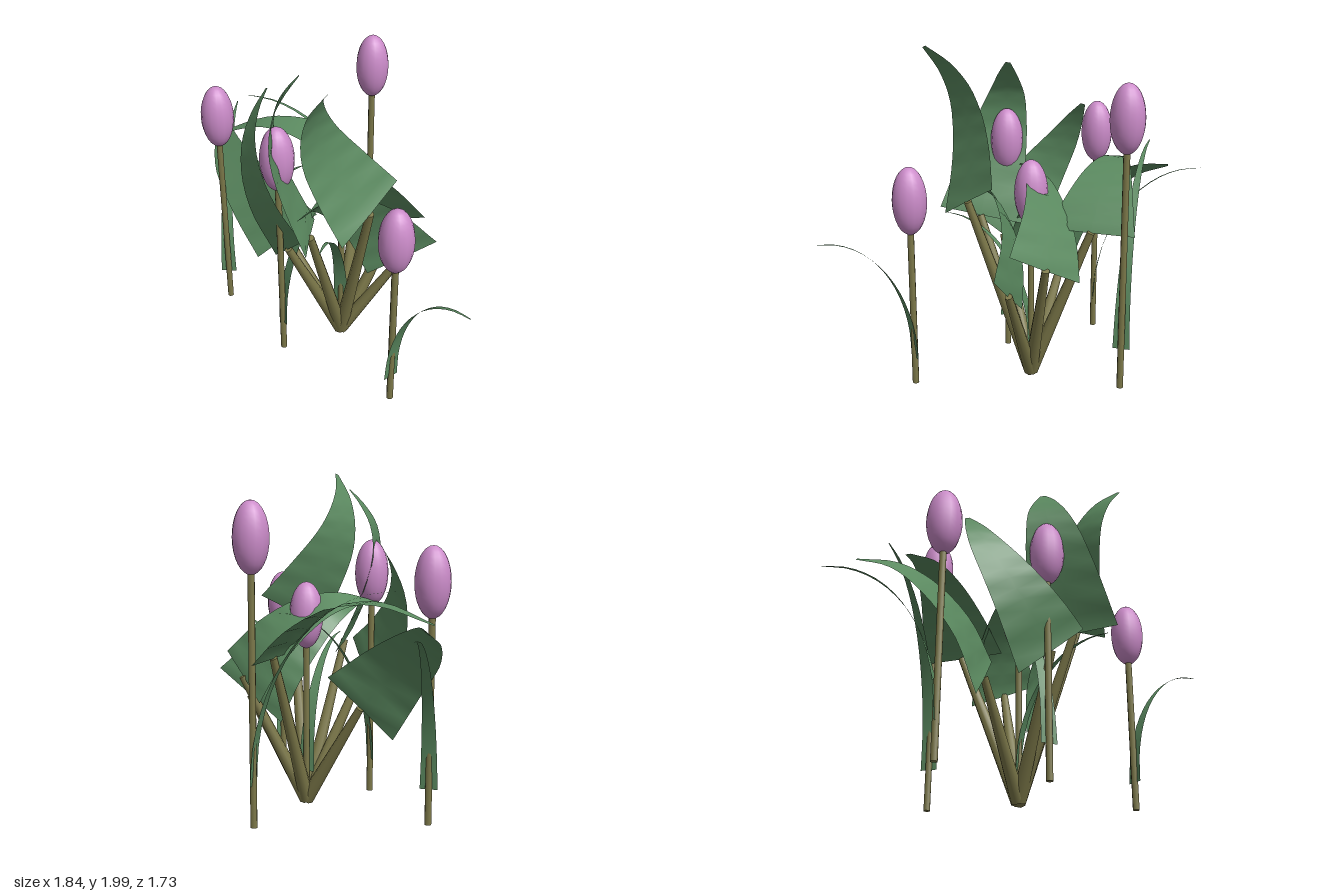
import * as THREE from 'three';

const V = (a) => new THREE.Vector3(...a);

function material(name, color, side = THREE.FrontSide) {
  const m = new THREE.MeshStandardMaterial({ color, side });
  m.name = name;
  return m;
}

// Tapering blade swept along a curve, with a rippled midrib.
function bladeGeometry(curve, sideDir, half, tipHalf, fold, segments) {
  const pos = [], index = [];
  for (let i = 0; i <= segments; i++) {
    const t = i / segments;
    const p = curve.getPoint(t);
    const tangent = curve.getTangent(t);
    const side = sideDir.clone().addScaledVector(tangent, -sideDir.dot(tangent)).normalize();
    const normal = new THREE.Vector3().crossVectors(tangent, side);
    const w = tipHalf + (half - tipHalf) * (1 - t);
    const mid = p.clone().addScaledVector(normal, fold * (1 - t) * (i % 2 ? 1 : -0.3));
    const left = p.clone().addScaledVector(side, -w);
    const right = p.clone().addScaledVector(side, w);
    pos.push(...left.toArray(), ...mid.toArray(), ...right.toArray());
    if (i < segments) {
      for (let c = 0; c < 2; c++) {
        const a = i * 3 + c;
        index.push(a, a + 1, a + 3, a + 1, a + 4, a + 3);
      }
    }
  }
  const g = new THREE.BufferGeometry();
  g.setAttribute('position', new THREE.Float32BufferAttribute(pos, 3));
  g.setIndex(index);
  g.computeVertexNormals();
  return g;
}

// Cylinder running between two points.
function rod(from, to, r0, r1, mat, name) {
  const d = to.clone().sub(from);
  const mesh = new THREE.Mesh(new THREE.CylinderGeometry(r1, r0, d.length(), 8), mat);
  mesh.position.copy(from).addScaledVector(d, 0.5);
  mesh.quaternion.setFromUnitVectors(new THREE.Vector3(0, 1, 0), d.normalize());
  mesh.name = name;
  return mesh;
}

export function createModel() {
  const model = new THREE.Group();
  model.name = 'flowerClump';
  const green = material('leaf green', 0x5b8a60, THREE.DoubleSide);
  const pink = material('petal pink', 0xcc8cca);
  const olive = material('stem olive', 0x7c7849);

  // Flowers: x, z, stem top, leaf base height, then leaf tip
  const flowers = [
    { x: -0.782, z: -0.195, top: 1.2, base: 0.24, tip: [-0.9, 1.18, -0.87] },
    { x: -0.272, z: 0.23, top: 1.2, base: 0.24, tip: [0.15, 1.18, -0.2] },
    { x: 0.085, z: -0.635, top: 1.44, base: 0.28, tip: [-0.71, 1.38, -0.57] },
    { x: 0.47, z: 0.52, top: 0.96, base: 0.2, tip: [0.915, 0.985, 0.86] },
    { x: 0.033, z: -0.05, top: 0.96, base: 0.2, tip: [0.04, 0.985, 0.5] },
  ];
  const bud = new THREE.SphereGeometry(0.1, 16, 16);
  for (const f of flowers) {
    const flower = new THREE.Group();
    flower.name = 'flower';
    flower.add(rod(V([f.x, 0.035, f.z]), V([f.x, f.top + 0.03, f.z]), 0.02, 0.02, olive, 'stem'));

    const head = new THREE.Mesh(bud, pink);
    head.name = 'bud';
    head.scale.y = 1.98;
    head.position.set(f.x, f.top + 0.197, f.z);
    flower.add(head);

    // Slim leaf rising beside the stem and arching over
    const [tx, ty, tz] = f.tip;
    const points = [];
    for (let i = 0; i <= 8; i++) {
      const a = (i / 8) * Math.PI / 2;
      const r = 1 - Math.cos(a);
      points.push(new THREE.Vector3(
        f.x + (tx - f.x) * r,
        f.base + (ty - f.base) * Math.sin(a),
        f.z + (tz - f.z) * r));
    }
    const side = new THREE.Vector3(-(tz - f.z), 0, tx - f.x).normalize();
    const leaf = new THREE.Mesh(
      bladeGeometry(new THREE.CatmullRomCurve3(points), side, 0.05, 0.003, 0.004, 16), green);
    leaf.name = 'slimLeaf';
    flower.add(leaf);
    model.add(flower);
  }

  // Broad leaves: midrib path starting at the stalk top, and the direction across the base
  const broadLeaves = [
    { side: [0.2, 0.16, 0.0],
      path: [[0.41, 0.64, -0.06], [0.25, 0.86, -0.02], [0.1, 1.04, 0.1], [-0.01, 1.14, 0.25], [-0.08, 1.18, 0.49]] },
    { side: [0.1, 0.1, -0.18],
      path: [[0.27, 1.13, 0.25], [0.13, 1.35, 0.3], [0.03, 1.55, 0.36], [0.0, 1.72, 0.42], [0.03, 1.87, 0.5], [0.11, 1.99, 0.59]] },
    { side: [0, 0, 1],
      path: [[0.06, 0.96, -0.43], [-0.1, 1.14, -0.43], [-0.3, 1.26, -0.42], [-0.55, 1.29, -0.4], [-0.85, 1.19, -0.37]] },
    { side: [0.2, 0.165, -0.03],
      path: [[-0.34, 0.64, -0.12], [-0.55, 0.86, -0.17], [-0.75, 1.04, -0.3], [-0.85, 1.14, -0.45], [-0.91, 1.18, -0.65]] },
    { side: [0.05, 0.02, 0.24],
      path: [[-0.06, 0.96, 0.32], [-0.2, 1.25, 0.3], [-0.285, 1.5, 0.27], [-0.28, 1.68, 0.23], [-0.22, 1.8, 0.2], [-0.15, 1.89, 0.17]] },
    { side: [0.165, 0.13, 0.14],
      path: [[0.35, 0.8, -0.26], [0.18, 1.02, -0.22], [0.0, 1.18, -0.12], [-0.17, 1.25, 0.0], [-0.33, 1.22, 0.2]] },
    { side: [0.165, 0.14, 0.17],
      path: [[-0.22, 0.8, 0.236], [-0.39, 1.0, 0.16], [-0.49, 1.18, 0.07], [-0.53, 1.35, -0.03], [-0.51, 1.5, -0.12], [-0.46, 1.62, -0.2]] },
  ];
  const root = V([0.033, 0.025, -0.05]);
  for (const { side, path } of broadLeaves) {
    const points = path.map(V);
    const plant = new THREE.Group();
    plant.name = 'broadLeafPlant';
    plant.add(rod(root, points[0], 0.045, 0.023, olive, 'stalk'));
    const blade = new THREE.Mesh(
      bladeGeometry(new THREE.CatmullRomCurve3(points), V(side).normalize(), 0.26, 0.015, 0.018, 16), green);
    blade.name = 'broadLeaf';
    plant.add(blade);
    model.add(plant);
  }
  return model;
}
